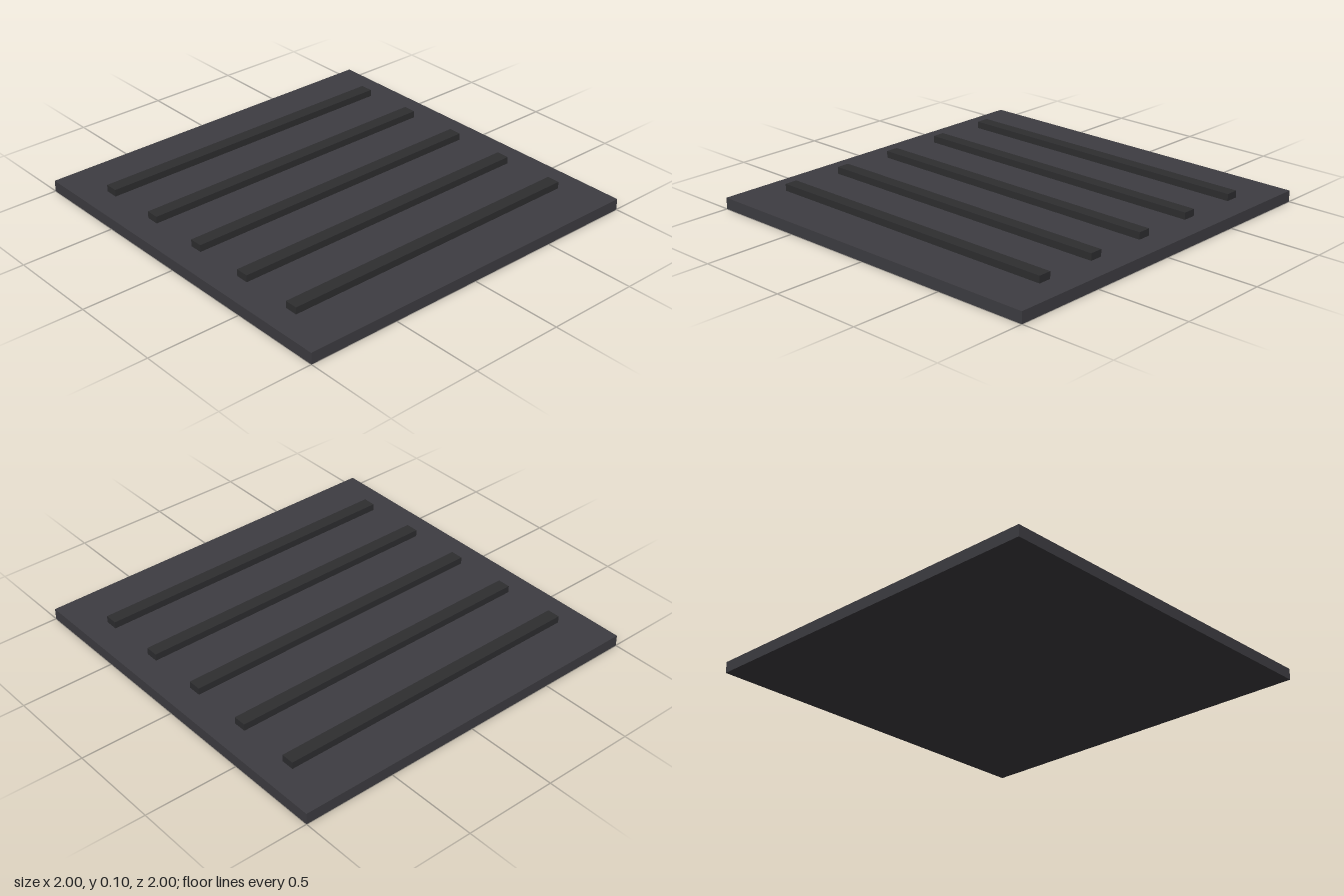
import * as THREE from 'three';

const PLATE_HEIGHT = 0.06;
const RIB_TOP = 0.097;
const RIB_SINK = 0.01;

function addBox(parent, name, size, position, color) {
  const material = new THREE.MeshStandardMaterial({ color });
  const mesh = new THREE.Mesh(new THREE.BoxGeometry(...size), material);
  mesh.name = name;
  mesh.position.set(...position);
  parent.add(mesh);
}

export function createModel() {
  const model = new THREE.Group();
  model.name = 'ribbedPlate';

  // Flat square base plate
  addBox(model, 'basePlate', [2, PLATE_HEIGHT, 2], [0, PLATE_HEIGHT / 2, 0], 0x3e3d42);

  // Five raised ribs running front to back, seated slightly into the plate
  const ribBottom = PLATE_HEIGHT - RIB_SINK;
  const ribHeight = RIB_TOP - ribBottom;
  for (let i = -2; i <= 2; i++) {
    addBox(model, `rib${i + 3}`, [0.07, ribHeight, 1.72], [i * 0.349, ribBottom + ribHeight / 2, 0], 0x2e2e30);
  }

  return model;
}
